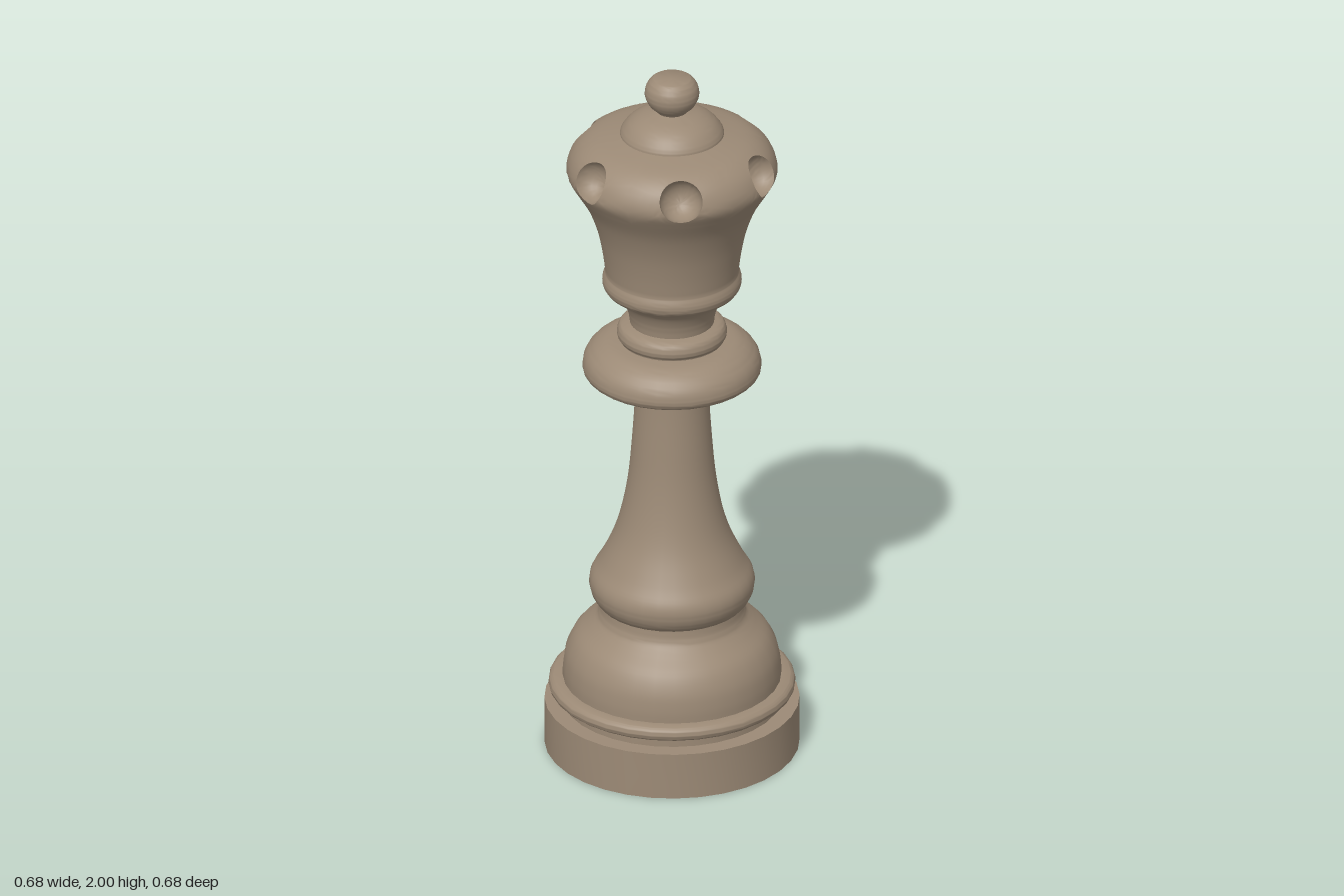
import * as THREE from 'three';
import { mergeGeometries, toCreasedNormals } from 'three/addons/utils/BufferGeometryUtils.js';

const CREASE = 0.7;
const SECTORS = 6;
const SIDE = 10; // points along each side of a crown sector

const spline = (pts) => new THREE.SplineCurve(pts.map(([r, y]) => new THREE.Vector2(r, y)));
const smooth = (pts) => spline(pts).getPoints((pts.length - 1) * 4);
const straight = (pts) => pts.map(([r, y]) => new THREE.Vector2(r, y));

// Lathe reduced to positions so it can be merged and creased
function turned(points, segments) {
  const g = new THREE.LatheGeometry(points, segments);
  g.deleteAttribute('normal');
  g.deleteAttribute('uv');
  return g;
}

// One sixth of the crown shoulder with a round scoop: rings run from the scoop's
// deepest point to its rim, then spread out to the edges of the sector
function crownSector(curve) {
  const s0 = 0.37, R = 0.058, bowlRings = 8, skinRings = 8;
  const centre = new THREE.Vector3(0, 1.762, 0.265);
  const pole = new THREE.Vector3(0, -0.5, -0.86).normalize();
  const surface = (u, s) => {
    const p = curve.getPointAt(THREE.MathUtils.clamp(s, 0, 1));
    const a = u * Math.PI / SECTORS;
    return new THREE.Vector3(p.x * Math.sin(a), p.y, p.x * Math.cos(a));
  };
  const edge = [];
  for (let i = 0; i < SIDE; i++) edge.push([-1 + 2 * i / SIDE, 0]);
  for (let i = 0; i < SIDE; i++) edge.push([1, i / SIDE]);
  for (let i = 0; i < SIDE; i++) edge.push([1 - 2 * i / SIDE, 1]);
  for (let i = 0; i < SIDE; i++) edge.push([-1, 1 - i / SIDE]);

  const M = edge.length, rows = bowlRings + skinRings;
  const pos = [], index = [];
  const columns = edge.map(([u, s]) => {
    const at = (t) => surface(u * t, s0 + (s - s0) * t);
    let lo = 0, hi = 1; // find the rim along this ray
    for (let k = 0; k < 30; k++) {
      const mid = (lo + hi) / 2;
      if (at(mid).distanceTo(centre) < R) lo = mid; else hi = mid;
    }
    const rim = at(lo).sub(centre).normalize();
    const col = [];
    for (let k = 0; k < bowlRings; k++) {
      col.push(pole.clone().lerp(rim, k / bowlRings).normalize().multiplyScalar(R).add(centre));
    }
    for (let k = 0; k <= skinRings; k++) col.push(at(lo + (1 - lo) * k / skinRings));
    return col;
  });
  for (let k = 0; k <= rows; k++) columns.forEach((c) => pos.push(c[k].x, c[k].y, c[k].z));
  for (let k = 0; k < rows; k++) {
    for (let i = 0; i < M; i++) {
      const a = k * M + i, b = k * M + (i + 1) % M;
      if (k > 0) index.push(a, b + M, b);
      index.push(a, a + M, b + M);
    }
  }
  const g = new THREE.BufferGeometry();
  g.setAttribute('position', new THREE.Float32BufferAttribute(pos, 3));
  g.setIndex(index);
  return g;
}

export function createModel() {
  const group = new THREE.Group();
  const wood = new THREE.MeshStandardMaterial({ color: 0x9c8a76 });
  wood.name = 'wood';
  const add = (name, geometry) => {
    const mesh = new THREE.Mesh(toCreasedNormals(geometry, CREASE), wood);
    mesh.name = name;
    group.add(mesh);
  };

  // Hollow base: inner wall downwards, then the foot, bead and dome upwards
  add('base', turned([
    ...straight([[0, 1.08], [0.075, 1.08], [0.085, 0.95]]),
    ...smooth([[0.1, 0.75], [0.14, 0.6], [0.19, 0.5], [0.175, 0.44]]),
    ...smooth([[0.17, 0.4], [0.225, 0.34], [0.262, 0.27], [0.27, 0.2]]),
    ...straight([[0.308, 0.19], [0.308, 0.17], [0.275, 0.15], [0.275, 0.115],
      [0.322, 0.115], [0.322, 0], [0.342, 0], [0.342, 0.132], [0.296, 0.132], [0.296, 0.162]]),
    ...smooth([[0.318, 0.162], [0.328, 0.17], [0.331, 0.181], [0.328, 0.192], [0.318, 0.2]]),
    ...smooth([[0.293, 0.201], [0.292, 0.235], [0.284, 0.28], [0.262, 0.325],
      [0.225, 0.362], [0.203, 0.385], [0.195, 0.405], [0.192, 0.428]]),
  ], 32));

  // Stem with its swollen foot
  add('stem', turned([
    ...straight([[0.19, 0.428]]),
    ...smooth([[0.2, 0.43], [0.214, 0.45], [0.222, 0.48], [0.217, 0.512], [0.192, 0.555],
      [0.157, 0.63], [0.134, 0.71], [0.117, 0.81], [0.107, 0.92], [0.1, 1.03], [0.098, 1.118]]),
  ], 32));

  // Collar and the thin ring above it
  add('collar', turned([
    ...straight([[0.09, 1.115]]),
    ...smooth([[0.228, 1.115], [0.238, 1.125], [0.24, 1.143], [0.232, 1.17],
      [0.21, 1.195], [0.178, 1.212], [0.14, 1.217]]),
    ...smooth([[0.14, 1.219], [0.147, 1.23], [0.147, 1.245], [0.138, 1.262], [0.113, 1.27]]),
  ], 32));

  // Neck, flared cup and scooped shoulder of the crown
  const shoulder = spline([[0.262, 1.683], [0.282, 1.72], [0.28, 1.748], [0.264, 1.782],
    [0.235, 1.808], [0.2, 1.823], [0.138, 1.836]]);
  const crown = [turned([
    ...smooth([[0.113, 1.268], [0.118, 1.3], [0.133, 1.335], [0.153, 1.357], [0.176, 1.37]]),
    ...smooth([[0.178, 1.371], [0.186, 1.385], [0.186, 1.403], [0.179, 1.422]]),
    ...smooth([[0.179, 1.424], [0.187, 1.485], [0.202, 1.555], [0.228, 1.625], [0.262, 1.683]]),
  ], SECTORS * SIDE)];
  const sector = crownSector(shoulder);
  for (let i = 0; i < SECTORS; i++) crown.push(sector.clone().rotateY(i * 2 * Math.PI / SECTORS));
  add('crown', mergeGeometries(crown));

  // Small dome on top of the crown
  add('dome', turned(smooth([[0.14, 1.834], [0.136, 1.847], [0.115, 1.872], [0.085, 1.89],
    [0.05, 1.9], [0.035, 1.904]]), 48));

  // Ball finial with a flattened top
  add('finial', turned([
    ...smooth([[0.038, 1.898], [0.045, 1.908], [0.062, 1.924], [0.073, 1.95],
      [0.07, 1.975], [0.06, 1.992], [0.05, 2]]),
    ...straight([[0, 2]]),
  ], 32));

  return group;
}
